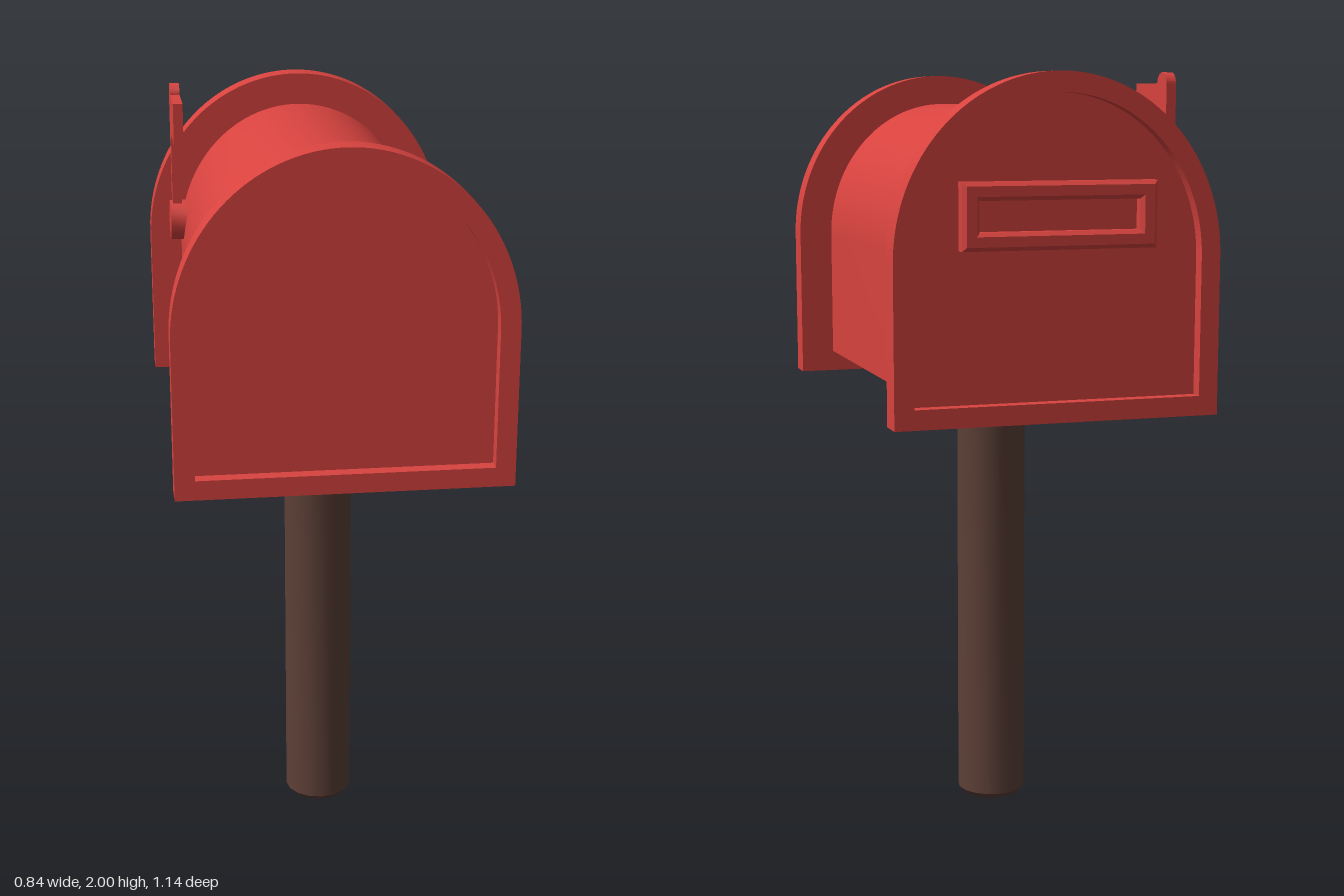
import * as THREE from 'three';
import { toCreasedNormals } from 'three/addons/utils/BufferGeometryUtils.js';

const red = new THREE.MeshStandardMaterial({ color: 0xd8433f });
const brown = new THREE.MeshStandardMaterial({ color: 0x5d4037 });

// Arched outline: flat bottom, straight sides, elliptical top
function arch(halfWidth, bottom, top, spring = 1.55, Type = THREE.Shape) {
  const s = new Type();
  s.moveTo(-halfWidth, bottom);
  s.lineTo(halfWidth, bottom);
  s.lineTo(halfWidth, spring);
  s.absellipse(0, spring, halfWidth, top - spring, 0, Math.PI, false, 0);
  s.closePath();
  return s;
}

function rect(w, y0, y1, Type = THREE.Shape) {
  return new Type([[-w, y0], [w, y0], [w, y1], [-w, y1]].map(([x, y]) => new THREE.Vector2(x, y)));
}

// Extrudes a shape from z0 to z1, with the bevel kept inside the outline
function extrude(shape, z0, z1, bevel = 0, bevelSegments = 4) {
  const g = new THREE.ExtrudeGeometry(shape, {
    depth: z1 - z0 - 2 * bevel, curveSegments: 32, bevelEnabled: bevel > 0,
    bevelThickness: bevel, bevelSize: bevel, bevelOffset: -bevel, bevelSegments,
  });
  g.translate(0, 0, z0 + bevel);
  return toCreasedNormals(g, 0.6);
}

function add(parent, name, geometry, material = red) {
  const mesh = new THREE.Mesh(geometry, material);
  mesh.name = name;
  parent.add(mesh);
  return mesh;
}

// End plate: raised rim around a recessed panel, facing +z from z = 0
function endPlate(name) {
  const group = new THREE.Group();
  group.name = name;
  const rim = arch(0.42, 1.15, 2.0);
  rim.holes.push(arch(0.37, 1.2, 1.95, 1.55, THREE.Path));
  add(group, 'rim', extrude(rim, 0, 0.07));
  add(group, 'panel', extrude(arch(0.372, 1.198, 1.952), 0, 0.035));
  return group;
}

export function createModel() {
  const model = new THREE.Group();
  model.name = 'mailbox';

  // Post with a small chamfer at the foot
  const profile = [[0, 0], [0.08, 0], [0.093, 0.015], [0.093, 1.23], [0, 1.23]]
    .map(([x, y]) => new THREE.Vector2(x, y));
  add(model, 'post', toCreasedNormals(new THREE.LatheGeometry(profile, 16), 0.6), brown);

  // Body with rounded ends
  add(model, 'body', extrude(arch(0.335, 1.21, 1.92), -0.495, 0.5, 0.03));

  // Front and back plates
  const front = endPlate('frontPlate');
  front.position.z = 0.497;
  const back = endPlate('backPlate');
  back.rotation.y = Math.PI;
  back.position.z = -0.495;
  model.add(front, back);

  // Letter slot on the back: bevelled frame with a sunken floor
  const frame = rect(0.25, 1.575, 1.74);
  frame.holes.push(rect(0.205, 1.62, 1.695, THREE.Path));
  add(back, 'slotFrame', extrude(frame, 0.03, 0.077, 0.01, 1));
  add(back, 'slotFloor', extrude(rect(0.22, 1.605, 1.71), 0.03, 0.045));

  // Signal flag on the right side: pivot, arm, rounded tip and flag
  const flag = new THREE.Group();
  flag.name = 'signalFlag';
  const disc = (name, radius, x0, x1, y, z, sides) => {
    const g = new THREE.CylinderGeometry(radius, radius, x1 - x0, sides);
    g.rotateZ(Math.PI / 2);
    add(flag, name, toCreasedNormals(g, 0.6)).position.set((x0 + x1) / 2, y, z);
  };
  const block = (name, y0, y1, z0, z1) => {
    add(flag, name, new THREE.BoxGeometry(0.026, y1 - y0, z1 - z0))
      .position.set(-0.349, (y0 + y1) / 2, (z0 + z1) / 2);
  };
  disc('pivot', 0.056, -0.369, -0.32, 1.62, -0.376, 12);
  disc('tip', 0.031, -0.362, -0.336, 1.969, -0.372, 20);
  block('arm', 1.62, 1.969, -0.403, -0.355);
  block('flagBlade', 1.865, 1.973, -0.38, -0.2);
  model.add(flag);

  return model;
}
